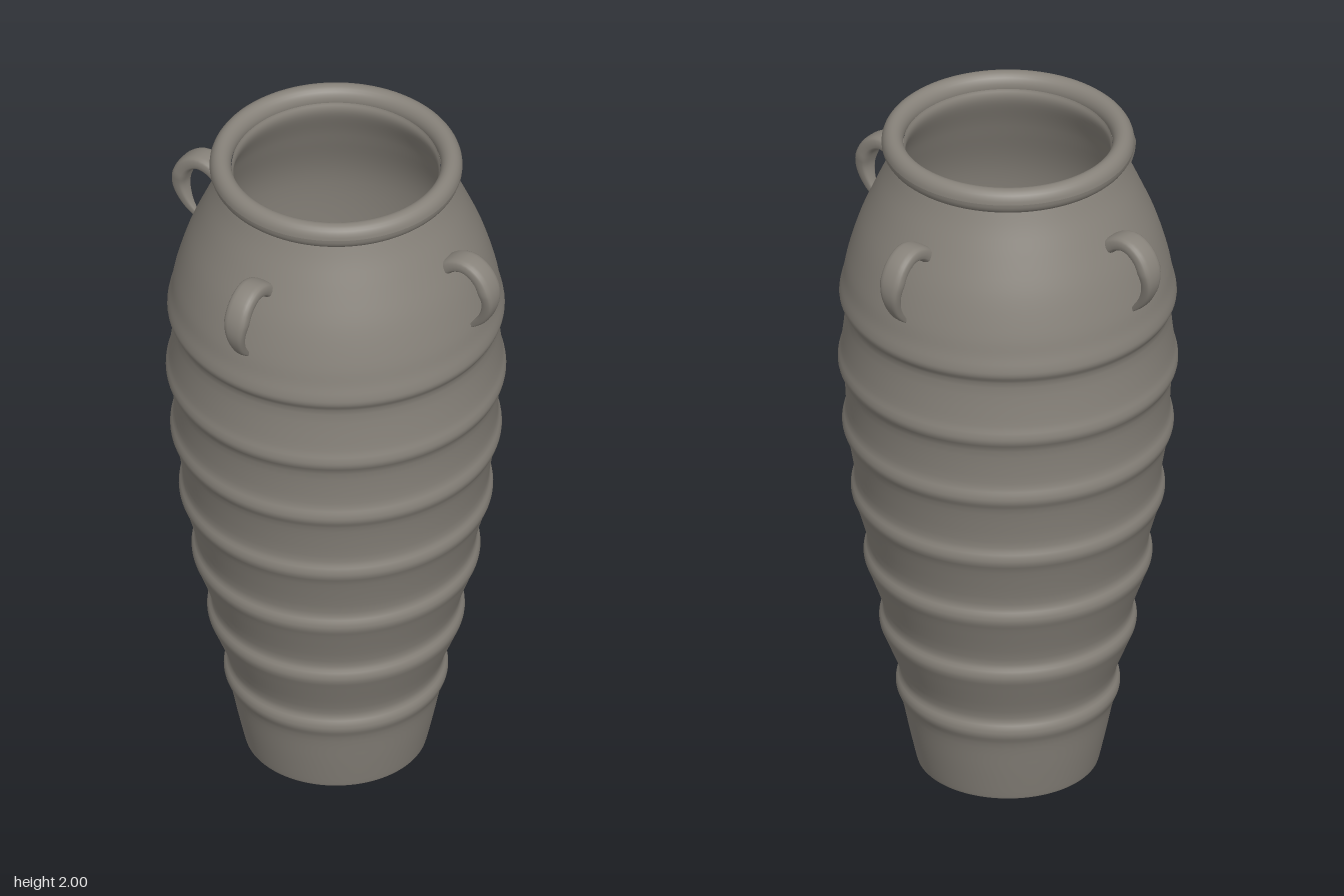
import * as THREE from 'three';

const V = (x, y) => new THREE.Vector2(x, y);

// Sweep a rounded, tapering section along a path in the x-y plane
function handleGeometry() {
  const path = new THREE.CatmullRomCurve3(
    [[0.365, 1.77], [0.4, 1.796], [0.44, 1.803], [0.484, 1.775], [0.508, 1.71],
      [0.49, 1.645], [0.437, 1.583]].map(([x, y]) => new THREE.Vector3(x, y, 0)));
  const steps = 28, sides = 20, pos = [], idx = [];
  const bend = (v) => Math.sign(v) * Math.pow(Math.abs(v), 0.65);
  for (let i = 0; i <= steps; i++) {
    const t = i / steps, p = path.getPointAt(t), d = path.getTangentAt(t);
    const taper = t < 0.5 ? 1 : 1 - (t - 0.5) / 0.5;
    const w = 0.036 * Math.max(0.04, taper);
    const h = 0.022 * Math.max(0.12, Math.sqrt(taper));
    for (let j = 0; j < sides; j++) {
      const a = (j / sides) * Math.PI * 2;
      const n = bend(Math.cos(a)) * h;
      pos.push(p.x - d.y * n, p.y + d.x * n, bend(Math.sin(a)) * w);
    }
  }
  for (let i = 0; i < steps; i++) {
    for (let j = 0; j < sides; j++) {
      const k = (j + 1) % sides;
      const a = i * sides + j, b = i * sides + k, c = a + sides, e = b + sides;
      idx.push(a, b, c, b, e, c);
    }
  }
  // End caps
  for (let j = 1; j < sides - 1; j++) {
    const o = steps * sides;
    idx.push(0, j + 1, j, o, o + j, o + j + 1);
  }
  const g = new THREE.BufferGeometry();
  g.setAttribute('position', new THREE.Float32BufferAttribute(pos, 3));
  g.setIndex(idx);
  g.computeVertexNormals();
  return g;
}

export function createModel() {
  const jar = new THREE.Group();
  jar.name = 'jar';
  const clay = new THREE.MeshStandardMaterial({ color: 0x87827a });
  clay.name = 'grey clay';
  const add = (name, geometry) => {
    const mesh = new THREE.Mesh(geometry, clay);
    mesh.name = name;
    jar.add(mesh);
    return mesh;
  };
  const lathe = (name, points) => add(name, new THREE.LatheGeometry(points, 96));

  // Outer wall with seven raised bands
  const ridges = [[0.308, 0.245], [0.354, 0.45], [0.397, 0.66], [0.432, 0.87],
    [0.456, 1.08], [0.468, 1.28], [0.464, 1.49]];
  const outline = [V(0.241, 0), V(0.249, 0.004), V(0.254, 0.015), V(0.273, 0.1)];
  for (const [r, y] of ridges) {
    outline.push(V(r - 0.015, y - 0.05), V(r, y - 0.012), V(r, y + 0.012), V(r - 0.009, y + 0.05));
  }
  outline.push(V(0.443, 1.6), V(0.413, 1.7), V(0.371, 1.8), V(0.335, 1.88), V(0.312, 1.94));
  lathe('outerWall', new THREE.SplineCurve(outline).getPoints(130));

  // Rounded lip
  const lip = [];
  for (let i = 0; i <= 24; i++) {
    const a = (i / 24) * Math.PI * 2;
    lip.push(V(0.319 + 0.03 * Math.cos(a), 1.964 + 0.036 * Math.sin(a)));
  }
  lathe('lip', lip);

  // Hollow inside
  const inner = [V(0.288, 1.96), V(0.286, 1.92), V(0.34, 1.8), V(0.41, 1.6), V(0.43, 1.3),
    V(0.418, 1.08), V(0.36, 0.66), V(0.27, 0.24), V(0.235, 0.05)];
  lathe('innerWall', new THREE.SplineCurve(inner).getPoints(50));

  // Floor, underside and drain hole
  lathe('floor', [V(0.24, 0.05), V(0.04, 0.05)]);
  lathe('underside', [V(0.04, 0), V(0.243, 0)]);
  lathe('drainHole', [V(0.04, 0.05), V(0.04, 0)]);

  // Four hooked handles around the shoulder
  const hook = handleGeometry();
  for (let i = 0; i < 4; i++) {
    add('handle' + (i + 1), hook).rotation.y = (i * Math.PI) / 2;
  }
  return jar;
}
